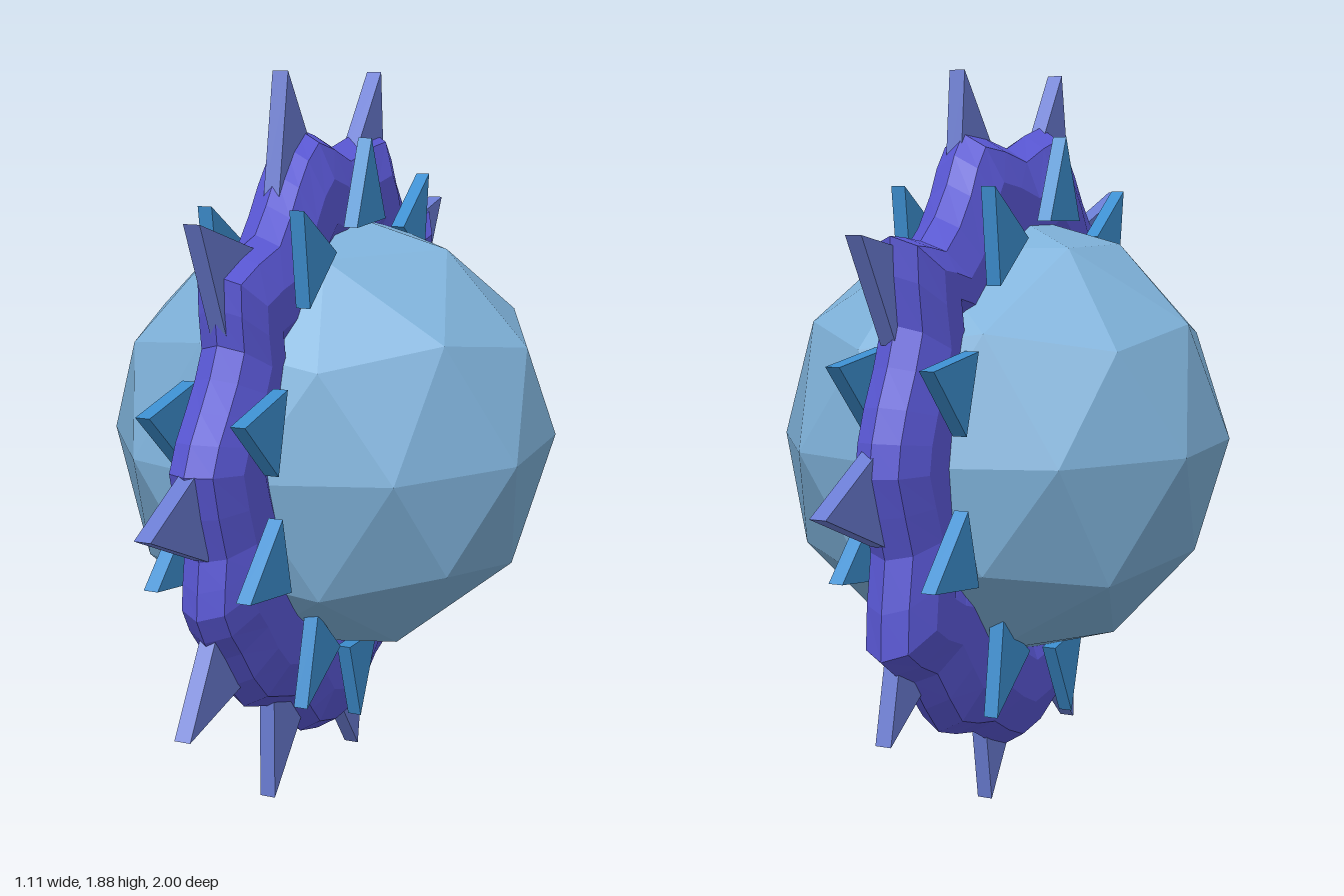
import * as THREE from 'three';

const CENTRE_Y = 0.92;
const RING_X = -0.015;

const mat = (color) => new THREE.MeshStandardMaterial({ color, flatShading: true, roughness: 1 });

// Lumpy ring: an oval section swept round a closed outline of [z, y] points
function ringGeometry() {
  const outline = [
    [0.17, 1.74], [-0.05, 1.68], [-0.31, 1.71], [-0.4, 1.59], [-0.54, 1.46], [-0.69, 1.475], [-0.67, 1.275],
    [-0.755, 1.1], [-0.8, 0.945], [-0.73, 0.75], [-0.755, 0.52], [-0.6, 0.43], [-0.46, 0.27], [-0.26, 0.21],
    [-0.07, 0.12], [0.17, 0.165], [0.28, 0.28], [0.515, 0.37], [0.665, 0.54], [0.757, 0.67], [0.74, 0.805],
    [0.805, 1.02], [0.72, 1.15], [0.63, 1.285], [0.64, 1.445], [0.42, 1.51], [0.3, 1.64],
  ];
  const curve = new THREE.CatmullRomCurve3(
    outline.map(([z, y]) => new THREE.Vector3(0, y - CENTRE_Y, z)), true);
  const rings = 54, sides = 10, semi = 0.18;
  const pos = [], index = [];
  for (let i = 0; i < rings; i++) {
    const p = curve.getPoint(i / rings);
    const outer = p.length();
    const dir = p.clone().normalize();
    for (let j = 0; j < sides; j++) {
      const a = (j / sides) * Math.PI * 2;
      const r = outer - semi + semi * Math.cos(a);
      pos.push(RING_X + 0.092 * Math.sin(a), CENTRE_Y + dir.y * r, dir.z * r);
      const i2 = (i + 1) % rings, j2 = (j + 1) % sides;
      const A = i * sides + j, B = i * sides + j2, C = i2 * sides + j, D = i2 * sides + j2;
      index.push(A, B, C, B, D, C);
    }
  }
  const g = new THREE.BufferGeometry();
  g.setAttribute('position', new THREE.Float32BufferAttribute(pos, 3));
  g.setIndex(index);
  g.computeVertexNormals();
  return g;
}

// Flat triangular spike pointing outwards, tip at (z, y), lying across x
function spike(z, y, length, width, thickness, x, material, name, turn = 0) {
  const angle = Math.atan2(y - CENTRE_Y, z) + turn;
  const d = new THREE.Vector2(Math.cos(angle), Math.sin(angle));
  const base = new THREE.Vector2(z, y).addScaledVector(d, -length);
  const side = new THREE.Vector2(-d.y, d.x).multiplyScalar(width / 2);
  const shape = new THREE.Shape([
    new THREE.Vector2(z, y), base.clone().add(side), base.clone().sub(side),
  ]);
  const g = new THREE.ExtrudeGeometry(shape, { depth: thickness, bevelEnabled: false });
  g.translate(0, 0, -thickness / 2);
  g.rotateY(-Math.PI / 2);
  const m = new THREE.Mesh(g, material);
  m.position.x = x;
  m.name = name;
  return m;
}

export function createModel() {
  const model = new THREE.Group();
  model.name = 'spikedRingedBall';

  // Faceted ball with a five-sided pole turned to +y
  const ball = new THREE.Mesh(new THREE.IcosahedronGeometry(0.582, 1), mat(0x7fb2da));
  ball.rotation.z = -Math.atan2(1, (1 + Math.sqrt(5)) / 2);
  ball.position.set(0, 0.942, -0.028);
  ball.name = 'ball';
  model.add(ball);

  // Ring
  const ring = new THREE.Mesh(ringGeometry(), mat(0x5a58d6));
  ring.name = 'ring';
  model.add(ring);

  // Large spikes round the rim: tip z, tip y, turn
  const rimSpikes = new THREE.Group();
  rimSpikes.name = 'rimSpikes';
  const rimMat = mat(0x6a7cd2);
  const rimTips = [
    [0.27, 1.88, 0.05], [-0.31, 1.86], [-0.83, 1.48], [-1, 0.89], [-0.72, 0.31, 0.2],
    [-0.16, 0, -0.07], [0.38, 0.07], [0.84, 0.41], [1, 0.93], [0.745, 1.57],
  ];
  for (const [z, y, turn] of rimTips) {
    rimSpikes.add(spike(z, y, 0.27, 0.24, 0.04, z > 0 ? RING_X : 0, rimMat, 'rimSpike', turn));
  }
  model.add(rimSpikes);

  // Smaller spikes on both faces of the ring
  const faceMat = mat(0x3d8fd0);
  const faceTips = [
    [0.01, 1.71], [-0.43, 1.585], [-0.755, 1.185], [-0.755, 0.69], [-0.42, 0.31],
    [0.067, 0.19], [0.43, 0.35, 0.1], [0.75, 0.725], [0.767, 1.136], [0.44, 1.573],
  ];
  for (const [name, x] of [['leftFaceSpikes', 0.099], ['rightFaceSpikes', -0.135]]) {
    const group = new THREE.Group();
    group.name = name;
    for (const [z, y, turn] of faceTips) {
      group.add(spike(z, y, 0.212, 0.2, 0.036, x, faceMat, 'faceSpike', turn));
    }
    model.add(group);
  }
  return model;
}
